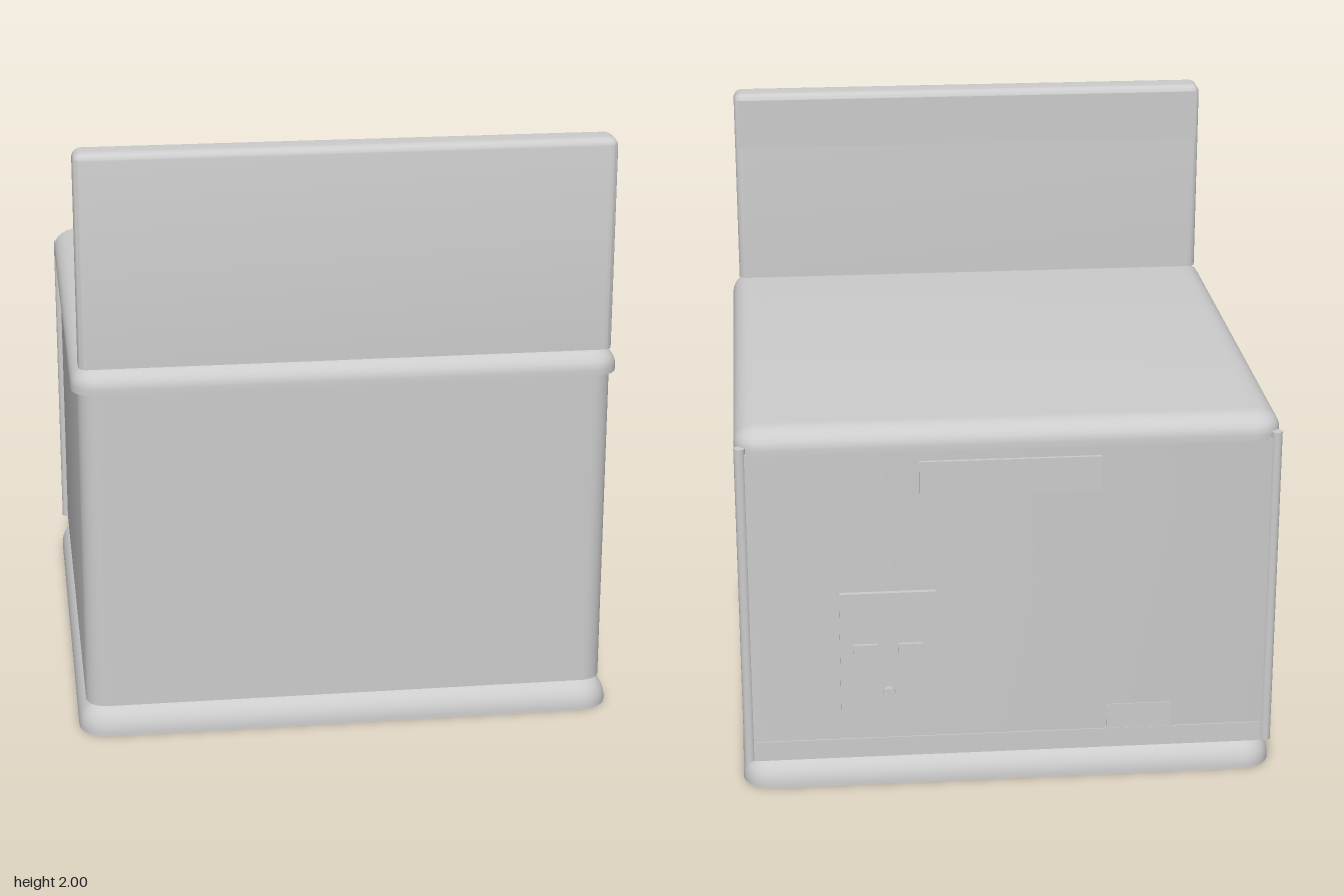
import * as THREE from 'three';
import { toCreasedNormals } from 'three/addons/utils/BufferGeometryUtils.js';

const grey = new THREE.MeshStandardMaterial({ color: 0xcccccc });
grey.name = 'grey';

// Rounded rectangle outline in plan, counter-clockwise from above
function outline(x, zBack, zFront, rFront, rBack, inset) {
  const pts = [];
  const steps = 8;
  const corners = [[1, -1], [-1, -1], [-1, 1], [1, 1]];
  corners.forEach(([sx, sz], k) => {
    const r = Math.max((sz > 0 ? rFront : rBack) - inset, 0.003);
    const cx = sx * (x - inset - r);
    const cz = sz > 0 ? zFront - inset - r : zBack + inset + r;
    for (let i = 0; i <= steps; i++) {
      const a = (k + i / steps) * Math.PI / 2;
      pts.push([cx + r * Math.cos(a), cz - r * Math.sin(a)]);
    }
  });
  return pts;
}

// Closed slab lofted through layers of [inset, y], bottom to top
function slab({ x, zBack, zFront, rFront, rBack = rFront, layers }) {
  const pos = [], index = [];
  const zMid = (zBack + zFront) / 2;
  let n = 0;
  for (const [inset, y] of layers) {
    const loop = outline(x, zBack, zFront, rFront, rBack, inset);
    n = loop.length;
    for (const [px, pz] of loop) pos.push(px, y, pz);
  }
  const last = (layers.length - 1) * n;
  const bottom = pos.length / 3;
  pos.push(0, layers[0][1], zMid, 0, layers[layers.length - 1][1], zMid);
  for (let i = 0; i < n; i++) {
    const j = (i + 1) % n;
    for (let a = 0; a < last; a += n) {
      index.push(a + i, a + j, a + n + j, a + i, a + n + j, a + n + i);
    }
    index.push(bottom, j, i, bottom + 1, last + i, last + j);
  }
  const geo = new THREE.BufferGeometry();
  geo.setAttribute('position', new THREE.Float32BufferAttribute(pos, 3));
  geo.setIndex(index);
  return toCreasedNormals(geo, Math.PI / 5);
}

// Layers for a quarter-round top edge, starting from a straight side
function roundTop(yBottom, yStart, yTop, inset) {
  const layers = yStart > yBottom ? [[0, yBottom]] : [];
  for (let i = 0; i <= 8; i++) {
    const a = i / 8 * Math.PI / 2;
    layers.push([inset * (1 - Math.cos(a)), yStart + (yTop - yStart) * Math.sin(a)]);
  }
  return layers;
}

export function createModel() {
  const group = new THREE.Group();
  const add = (name, geo, x = 0, y = 0, z = 0) => {
    const mesh = new THREE.Mesh(geo, grey);
    mesh.name = name;
    mesh.position.set(x, y, z);
    group.add(mesh);
    return mesh;
  };
  // Box given by its limits
  const box = (name, x0, x1, y0, y1, z0, z1) =>
    add(name, new THREE.BoxGeometry(x1 - x0, y1 - y0, z1 - z0),
      (x0 + x1) / 2, (y0 + y1) / 2, (z0 + z1) / 2);

  // Main stacked volumes
  add('base', slab({ x: 0.905, zBack: -0.895, zFront: 0.91, rFront: 0.1,
    layers: roundTop(0, 0.01, 0.1, 0.09) }));
  add('cabinet', slab({ x: 0.88, zBack: -0.88, zFront: 0.885, rFront: 0.07, rBack: 0.005,
    layers: [[0, 0.1], [0, 1.21]] }));
  add('lid', slab({ x: 0.9, zBack: -0.89, zFront: 0.905, rFront: 0.09,
    layers: roundTop(1.205, 1.225, 1.29, 0.085) }));
  add('uprightPanel', slab({ x: 0.875, zBack: 0.76, zFront: 0.885, rFront: 0.03,
    layers: roundTop(1.29, 1.97, 2.0, 0.03) }));
  box('uprightPanelStrip', -0.86, 0.86, 1.8, 1.98, 0.75, 0.762);

  // Rounded posts on the rear corners
  for (const side of [-1, 1]) {
    add(side > 0 ? 'leftPost' : 'rightPost',
      new THREE.CylinderGeometry(0.019, 0.019, 1.13, 20), side * 0.881, 0.665, -0.868);
  }

  // Rear fittings
  box('rearKickStrip', -0.86, 0.86, 0.1, 0.17, -0.884, -0.878);
  box('rearHandlePlate', -0.3, 0.3, 1.05, 1.17, -0.891, -0.878);
  box('rearSmallPlate', -0.55, -0.33, 0.17, 0.26, -0.883, -0.878);
  box('controlPlate', 0.25, 0.57, 0.265, 0.71, -0.896, -0.878);
  for (const x of [0.335, 0.485]) {
    box('controlSwitch', x - 0.04, x + 0.04, 0.495, 0.527, -0.906, -0.89);
  }
  const knob = add('controlKnob', new THREE.CylinderGeometry(0.022, 0.022, 0.025, 20),
    0.408, 0.345, -0.9);
  knob.rotation.x = Math.PI / 2;

  return group;
}
